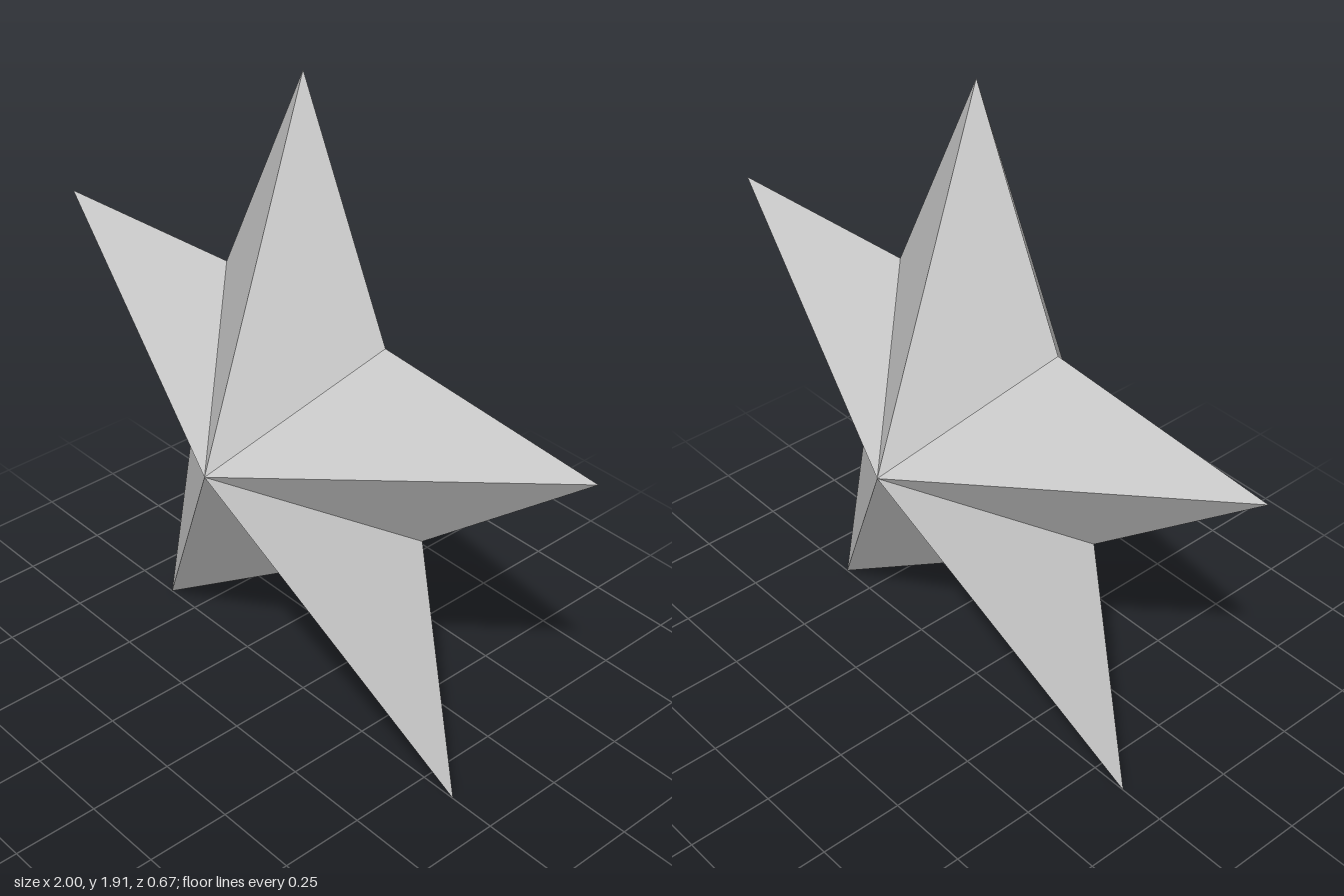
import * as THREE from 'three';

export function createModel() {
  const group = new THREE.Group();
  const centreY = 0.893, depth = 0.337;

  // Right half of the outline, top to bottom, then mirrored to close the star
  const half = [[0, 1.914], [0.305, 1.278], [1, 1.231], [0.457, 0.777], [0.611, 0.003], [0, 0.432]];
  const mirrored = half.slice(1, -1).reverse().map(([x, y]) => [-x, y]);
  const outline = [...half, ...mirrored]; // clockwise from the front

  // One facet per outline edge, rising to the front and back peaks
  const positions = [];
  outline.forEach(([ax, ay], i) => {
    const [bx, by] = outline[(i + 1) % outline.length];
    positions.push(0, centreY, depth, bx, by, 0, ax, ay, 0);
    positions.push(0, centreY, -depth, ax, ay, 0, bx, by, 0);
  });

  const geometry = new THREE.BufferGeometry();
  geometry.setAttribute('position', new THREE.Float32BufferAttribute(positions, 3));
  geometry.computeVertexNormals();

  const star = new THREE.Mesh(
    geometry,
    new THREE.MeshStandardMaterial({ color: 0xcccccc, flatShading: true })
  );
  star.name = 'star';
  group.add(star);
  return group;
}
